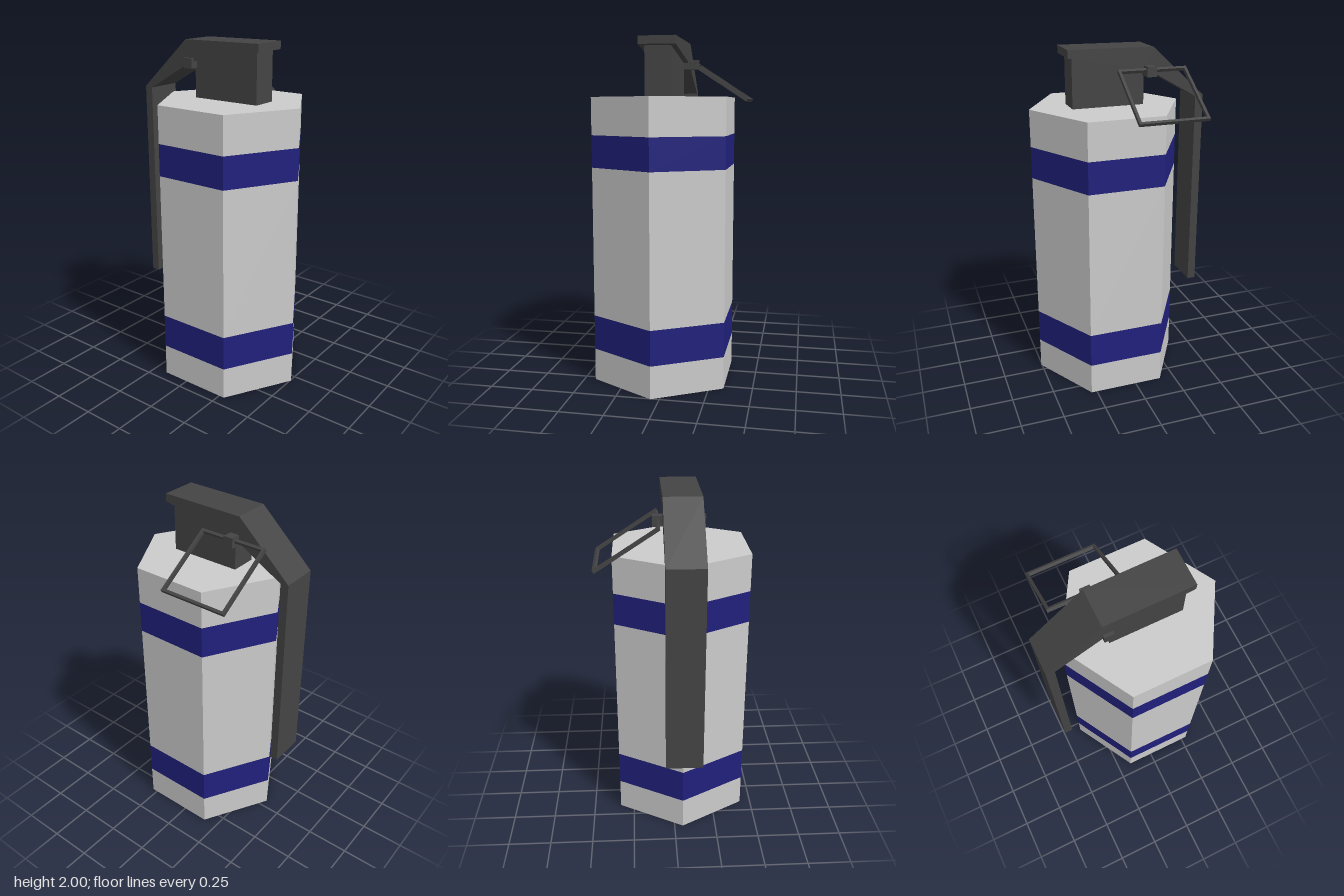
import * as THREE from 'three';

const material = (color) => new THREE.MeshStandardMaterial({ color, flatShading: true });

export function createModel() {
  const model = new THREE.Group();
  const grey = material(0xcccccc);
  const blue = material(0x20207d);
  const dark = material(0x444444);

  const add = (parent, name, geometry, mat, x = 0, y = 0, z = 0) => {
    const mesh = new THREE.Mesh(geometry, mat);
    mesh.name = name;
    mesh.position.set(x, y, z);
    parent.add(mesh);
    return mesh;
  };

  // Hexagonal body, stacked from plain and coloured sections
  const body = new THREE.Group();
  body.name = 'body';
  model.add(body);
  const levels = [0, 0.19, 0.395, 1.27, 1.455, 1.67];
  const names = ['bodyBase', 'lowerBand', 'bodyMiddle', 'upperBand', 'bodyTop'];
  names.forEach((name, i) => {
    const h = levels[i + 1] - levels[i];
    const isEnd = i === 0 || i === names.length - 1;
    const section = new THREE.CylinderGeometry(0.444, 0.444, h, 6, 1, !isEnd);
    add(body, name, section, i % 2 ? blue : grey, -0.05, levels[i] + h / 2, 0.061);
  });

  // Fuse block under the lever
  const block = new THREE.Shape([
    [0.275, 1.67], [0.275, 1.96], [-0.145, 1.89], [-0.145, 1.67],
  ].map(([z, y]) => new THREE.Vector2(-z, y)));

  // Bent safety lever, side profile in (z, y)
  const lever = new THREE.Shape([
    [0.305, 2], [-0.19, 1.995], [-0.505, 1.705], [-0.505, 0.515],
    [-0.457, 0.515], [-0.457, 1.7], [-0.15, 1.875], [0.305, 1.955],
  ].map(([z, y]) => new THREE.Vector2(-z, y)));

  // Extrudes a side profile across x, centred on the body axis
  const sideExtrude = (shape, width) => new THREE.ExtrudeGeometry(shape, { depth: width, bevelEnabled: false })
    .translate(0, 0, -width / 2)
    .rotateY(Math.PI / 2);
  add(model, 'fuseBlock', sideExtrude(block, 0.15), dark, -0.05);
  add(model, 'safetyLever', sideExtrude(lever, 0.213), dark, -0.05);

  // Pin through the head
  add(model, 'pin', new THREE.BoxGeometry(0.287, 0.057, 0.055), dark, -0.03, 1.866, -0.162);

  // Square pull ring, a flat frame tilted down to the side
  const frame = (w, h) => [[-w, -h], [w, -h], [w, h], [-w, h]].map(([x, y]) => new THREE.Vector2(x, y));
  const ring = new THREE.Shape(frame(0.205, 0.203));
  ring.holes.push(new THREE.Path(frame(0.189, 0.187)));
  const ringGeometry = new THREE.ExtrudeGeometry(ring, { depth: 0.02, bevelEnabled: false })
    .translate(0, 0, -0.01)
    .rotateX(-Math.PI / 2)
    .rotateZ(-THREE.MathUtils.degToRad(33));
  add(model, 'pullRing', ringGeometry, dark, 0.253, 1.765, -0.173);

  return model;
}
